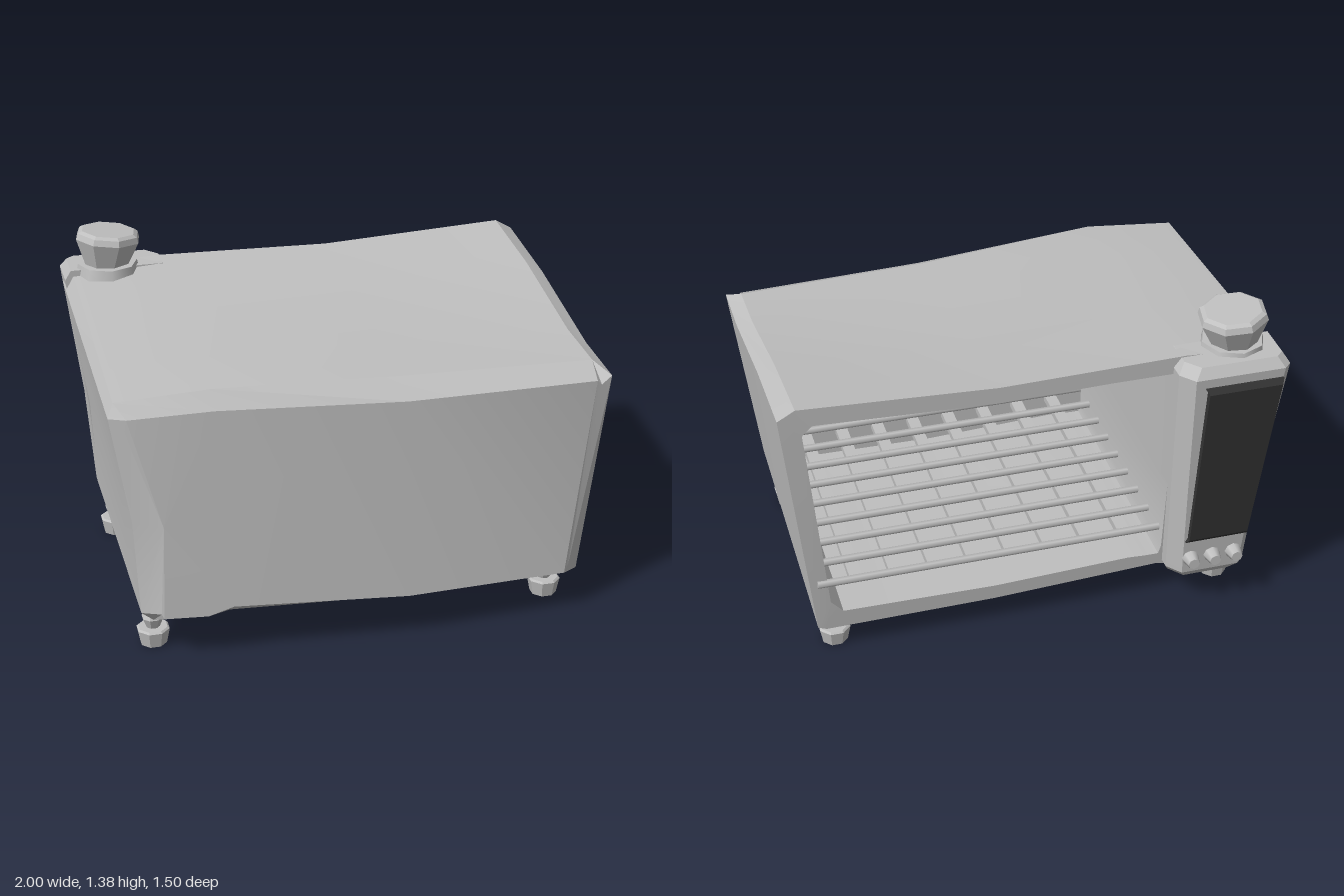
import * as THREE from 'three';
import { toCreasedNormals } from 'three/addons/utils/BufferGeometryUtils.js';

const lerp = THREE.MathUtils.lerp;

// Joins equal-length rings into a skin; rings run clockwise seen from the last ring's side
function skin(rings, caps) {
  const n = rings[0].length, last = (rings.length - 1) * n, index = [];
  for (let r = 0; r < rings.length - 1; r++) {
    for (let i = 0; i < n; i++) {
      const a = r * n + i, b = r * n + (i + 1) % n;
      index.push(a, a + n, b + n, a, b + n, b);
    }
  }
  for (const [a, b, c] of caps) index.push(a + last, b + last, c + last);
  return { index, positions: rings.flat(2) };
}

function toGeometry({ index, positions }) {
  const g = new THREE.BufferGeometry();
  g.setAttribute('position', new THREE.Float32BufferAttribute(positions, 3));
  g.setIndex(index);
  return toCreasedNormals(g, 0.3);
}

// Solid stacked upwards from rings, closed with fans at both ends
function stack(rings) {
  const n = rings[0].length, top = [];
  for (let i = 1; i < n - 1; i++) top.push([0, i + 1, i]);
  const s = skin(rings, top);
  for (const [a, b, c] of top) s.index.push(a, c, b);
  return toGeometry(s);
}

export function createModel() {
  const model = new THREE.Group();
  const metal = new THREE.MeshStandardMaterial({ name: 'grey metal', color: 0xbfbfbf });
  const glass = new THREE.MeshStandardMaterial({ name: 'dark glass', color: 0x333333 });

  function add(name, geometry, material = metal, parent = model) {
    const mesh = new THREE.Mesh(geometry, material);
    mesh.name = name;
    parent.add(mesh);
    return mesh;
  }

  // Warped casing: loops start at the top left and run clockwise
  const backZ = y => y > 0.78 ? -0.61 : lerp(-0.55, -0.61, (y - 0.13) / 0.65);
  const back = [[-0.96, 1.19], [-0.6, 1.215], [0.15, 1.2], [0.93, 1.24], [1, 1.2], [0.885, 0.14],
    [0.85, 0.125], [0.15, 0.13], [-0.55, 0.165], [-0.65, 0.14], [-0.85, 0.15], [-0.9, 0.2],
    [-0.92, 0.6], [-0.995, 1.13]].map(([x, y]) => [x, y, backZ(y)]);
  const front = [[-0.97, 1.1, 0.6], [-0.6, 1.125, 0.62], [0.15, 1.08, 0.58], [0.94, 1.06, 0.57],
    [0.995, 1.02, 0.65], [0.885, 0.18, 0.66], [0.85, 0.13, 0.6], [0.15, 0.13, 0.62],
    [-0.55, 0.165, 0.62], [-0.65, 0.14, 0.6], [-0.85, 0.15, 0.6], [-0.9, 0.2, 0.62],
    [-0.92, 0.6, 0.62], [-0.995, 1.05, 0.63]];
  const face = [[-0.93, 1.05, 0.66], [-0.6, 1.06, 0.68], [0.15, 1.02, 0.69], [0.93, 1.01, 0.665],
    [0.95, 0.99, 0.66], [0.84, 0.22, 0.69], [0.82, 0.185, 0.7], [0.15, 0.2, 0.75],
    [-0.55, 0.235, 0.72], [-0.65, 0.2, 0.71], [-0.82, 0.2, 0.69], [-0.83, 0.22, 0.685],
    [-0.81, 0.6, 0.69], [-0.94, 1, 0.655]];
  const between = (t, dip) => back.map((p, i) => p.map((v, k) =>
    lerp(v, front[i][k], t) + (k === 1 && (i === 3 || i === 4) ? dip : 0)));

  // Cavity opening and its far wall
  const mouth = [[-0.56, 1.14], [-0.3, 1.14], [0.15, 1.13], [0.87, 1.16], [0.91, 1.12], [0.83, 0.27],
    [0.78, 0.21], [0.15, 0.2], [-0.42, 0.225], [-0.5, 0.22], [-0.55, 0.22], [-0.56, 0.26],
    [-0.56, 0.6], [-0.56, 1.1]].map(([x, y]) => [x, y, backZ(y)]);
  const deep = mouth.map(([x, y]) => [x, y > 1 ? y - 0.14 : y, 0.53]);

  const capFaces = [[13, 12, 0], [0, 12, 1], [12, 11, 10], [12, 10, 9], [12, 9, 8], [12, 8, 1],
    [1, 8, 7], [1, 7, 2], [2, 7, 6], [2, 6, 3], [3, 6, 5], [3, 5, 4]];
  const casing = skin([deep, mouth, back, between(0.34, 0.01), between(0.77, -0.02), front, face], capFaces);
  for (const [a, b, c] of capFaces) casing.index.push(a, c, b);
  add('casing', toGeometry(casing));

  // Octagonal lamp on the cavity ceiling
  const lamp = add('ceilingLamp', new THREE.CylinderGeometry(0.32, 0.26, 0.04, 8));
  lamp.position.set(0.04, 1.055, -0.04);
  lamp.rotation.x = 0.12;

  // Wire rack: thin rods across, flat bars beneath
  const rack = new THREE.Group();
  rack.name = 'rack';
  model.add(rack);
  for (let i = 0; i < 9; i++) {
    const rod = add('rackRod', new THREE.CylinderGeometry(0.016, 0.016, 1.42, 6), metal, rack);
    rod.rotation.z = Math.PI / 2;
    rod.position.set(0.17, 0.375, -0.57 + i * 0.132);
  }
  for (let i = 0; i < 8; i++) {
    add('rackBar', new THREE.BoxGeometry(0.05, 0.03, 1.03), metal, rack)
      .position.set(-0.4 + i * 0.16, 0.345, -0.02);
  }

  // Control panel housing: leaning column with chamfered edges
  const panelRing = (y, x0, x1, z, c = 0.03) => [[x0, y, z + c], [x0 + c, y, z], [x1 - c - 0.02, y, z],
    [x1, y, z + c + 0.03], [x1, y, -0.52], [x0, y, -0.52]];
  add('controlPanel', stack([
    panelRing(0.14, -0.86, -0.59, -0.63), panelRing(0.18, -0.895, -0.57, -0.66),
    panelRing(0.6, -0.925, -0.56, -0.69), panelRing(1.17, -0.995, -0.55, -0.73),
    panelRing(1.21, -0.97, -0.58, -0.7)]));

  // Dark screen set on the panel
  const screenRing = (y, x0, x1, z) => [[x0, y, z], [x1, y, z], [x1, y, z + 0.06], [x0, y, z + 0.06]];
  add('screen', stack([screenRing(0.35, -0.89, -0.62, -0.68), screenRing(0.37, -0.88, -0.63, -0.695),
    screenRing(1.11, -0.95, -0.65, -0.752), screenRing(1.13, -0.96, -0.64, -0.735)]), glass);

  // Three push buttons
  for (let i = 0; i < 3; i++) {
    const button = add('button', new THREE.CylinderGeometry(0.024, 0.038, 0.06, 8));
    button.rotation.x = -Math.PI / 2;
    button.position.set(-0.65 - i * 0.093, 0.26, -0.685);
  }

  const turned = points => toCreasedNormals(
    new THREE.LatheGeometry(points.map(p => new THREE.Vector2(...p)), 8), 0.3);

  // Top knob on its octagonal base
  add('knobBase', new THREE.CylinderGeometry(0.125, 0.135, 0.045, 8)).position.set(-0.81, 1.205, -0.55);
  const knob = add('knob', turned([[0, 0], [0.09, 0], [0.14, 0.12], [0.132, 0.145], [0.115, 0.155], [0, 0.155]]));
  knob.position.set(-0.815, 1.21, -0.555);
  knob.rotation.set(0, 0.2, -0.1);

  // Four feet
  const footGeometry = turned([[0, 0], [0.055, 0], [0.068, 0.065], [0.06, 0.072], [0.028, 0.072],
    [0.045, 0.115], [0.035, 0.135], [0.035, 0.2], [0, 0.2]]);
  for (const x of [-0.84, 0.805]) {
    for (const z of [0.51, -0.46]) {
      const foot = add('foot', footGeometry);
      foot.position.set(x, 0, z);
      foot.rotation.y = Math.PI / 8;
    }
  }
  return model;
}
